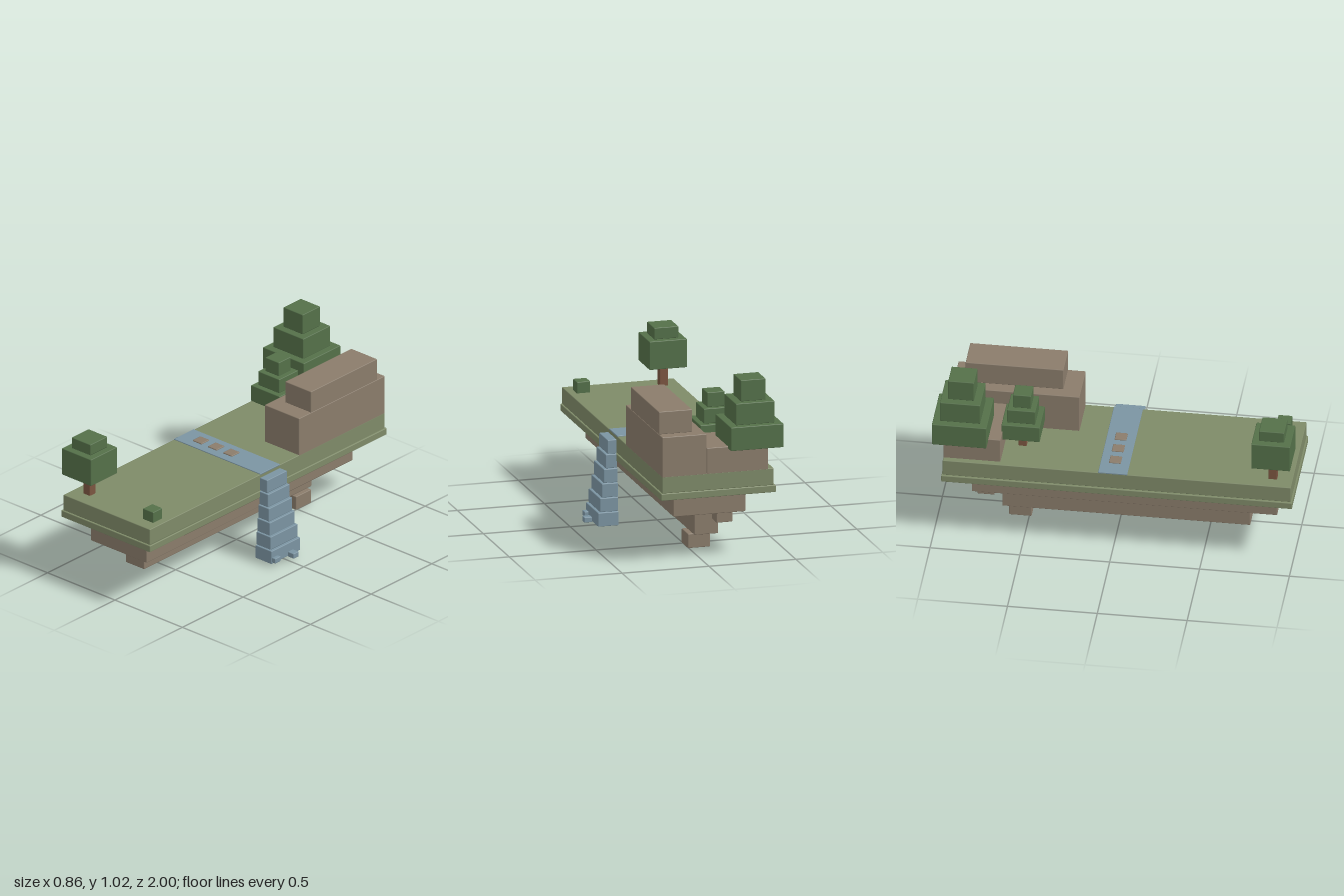
import * as THREE from 'three';
import { RoundedBoxGeometry } from 'three/addons/geometries/RoundedBoxGeometry.js';

const material = (name, color) => {
  const m = new THREE.MeshStandardMaterial({ color });
  m.name = name;
  return m;
};

export function createModel() {
  const grass = material('grass', 0x7e8a68);
  const rock = material('rock', 0x8a7c6b);
  const leaf = material('leaf', 0x547049);
  const bark = material('bark', 0x7b5540);
  const water = material('water', 0x7b94a2);

  const island = new THREE.Group();
  island.name = 'floatingIsland';

  // Softly bevelled block given by its ranges along each axis
  const block = (name, mat, [x0, x1], [y0, y1], [z0, z1], parent = island) => {
    const w = x1 - x0, h = y1 - y0, d = z1 - z0;
    const bevel = Math.min(0.004, h * 0.3);
    const mesh = new THREE.Mesh(new RoundedBoxGeometry(w, h, d, 1, bevel), mat);
    mesh.position.set((x0 + x1) / 2, (y0 + y1) / 2, (z0 + z1) / 2);
    mesh.name = name;
    parent.add(mesh);
    return mesh;
  };
  const around = (c, size) => [c - size / 2, c + size / 2];

  // Grass slabs
  block('grassTop', grass, [-0.39, 0.252], [0.42, 0.516], [-0.945, 0.992]);
  block('grassRim', grass, [-0.4, 0.26], [0.38, 0.42], [-0.952, 1]);

  // Stepped rock underside
  block('undersideUpper', rock, [-0.27, 0.145], [0.24, 0.38], [-0.8, 0.9]);
  block('undersideLower', rock, [-0.16, -0.022], [0.082, 0.24], [-0.645, 0.735]);
  block('undersideTip', rock, [-0.122, 0.005], [0, 0.082], [-0.612, -0.487]);
  block('undersideChunk', rock, [-0.202, -0.11], [0.18, 0.24], [-0.777, -0.683]);

  // Cliff at the back
  block('cliffBase', rock, [-0.004, 0.252], [0.51, 0.741], [-0.945, -0.237]);
  block('cliffTop', rock, [0.06, 0.252], [0.741, 0.87], [-0.88, -0.335]);
  block('cliffStep', rock, [-0.358, -0.004], [0.51, 0.66], [-0.945, -0.628]);

  // Stream with stepping stones
  block('stream', water, [-0.39, 0.252], [0.512, 0.521], [-0.08, 0.082]);
  for (const x of [-0.262, -0.15, -0.037]) {
    block('steppingStone', rock, around(x, 0.066), [0.512, 0.527], around(0, 0.066));
  }

  // Waterfall widening towards the bottom
  const waterfall = new THREE.Group();
  waterfall.name = 'waterfall';
  for (let i = 0; i < 6; i++) {
    const top = 0.5 - i * 0.0805;
    block('waterfallStep', water, [0.254, 0.308 + i * 0.013], [top - 0.079, top],
      around(0.006, 0.165 + i * 0.0145), waterfall);
  }
  block('splash', water, [0.385, 0.43], [0.027, 0.057], [-0.038, 0.006], waterfall);
  block('splash', water, [0.35, 0.396], [0.027, 0.057], [0.073, 0.119], waterfall);
  island.add(waterfall);

  // Trees: tiers are [width, bottom, top]
  const tree = (name, x, z, trunk, base, tiers) => {
    const group = new THREE.Group();
    group.name = name;
    block('trunk', bark, around(x, trunk), [base, tiers[0][1] + 0.01], around(z, trunk), group);
    for (const [w, y0, y1] of tiers) {
      block('foliage', leaf, around(x, w), [y0, y1], around(z, w), group);
    }
    island.add(group);
  };
  tree('backTree', -0.279, -0.848, 0.06, 0.52,
    [[0.304, 0.647, 0.781], [0.224, 0.781, 0.904], [0.144, 0.904, 1.025]]);
  tree('middleTree', -0.166, -0.528, 0.045, 0.51,
    [[0.213, 0.606, 0.703], [0.157, 0.703, 0.788], [0.101, 0.788, 0.872]]);
  tree('frontTree', -0.295, 0.882, 0.048, 0.51,
    [[0.216, 0.635, 0.797], [0.14, 0.797, 0.863]]);

  // Bush at the front corner
  block('bush', leaf, around(0.172, 0.077), [0.51, 0.58], around(0.88, 0.077));

  return island;
}
